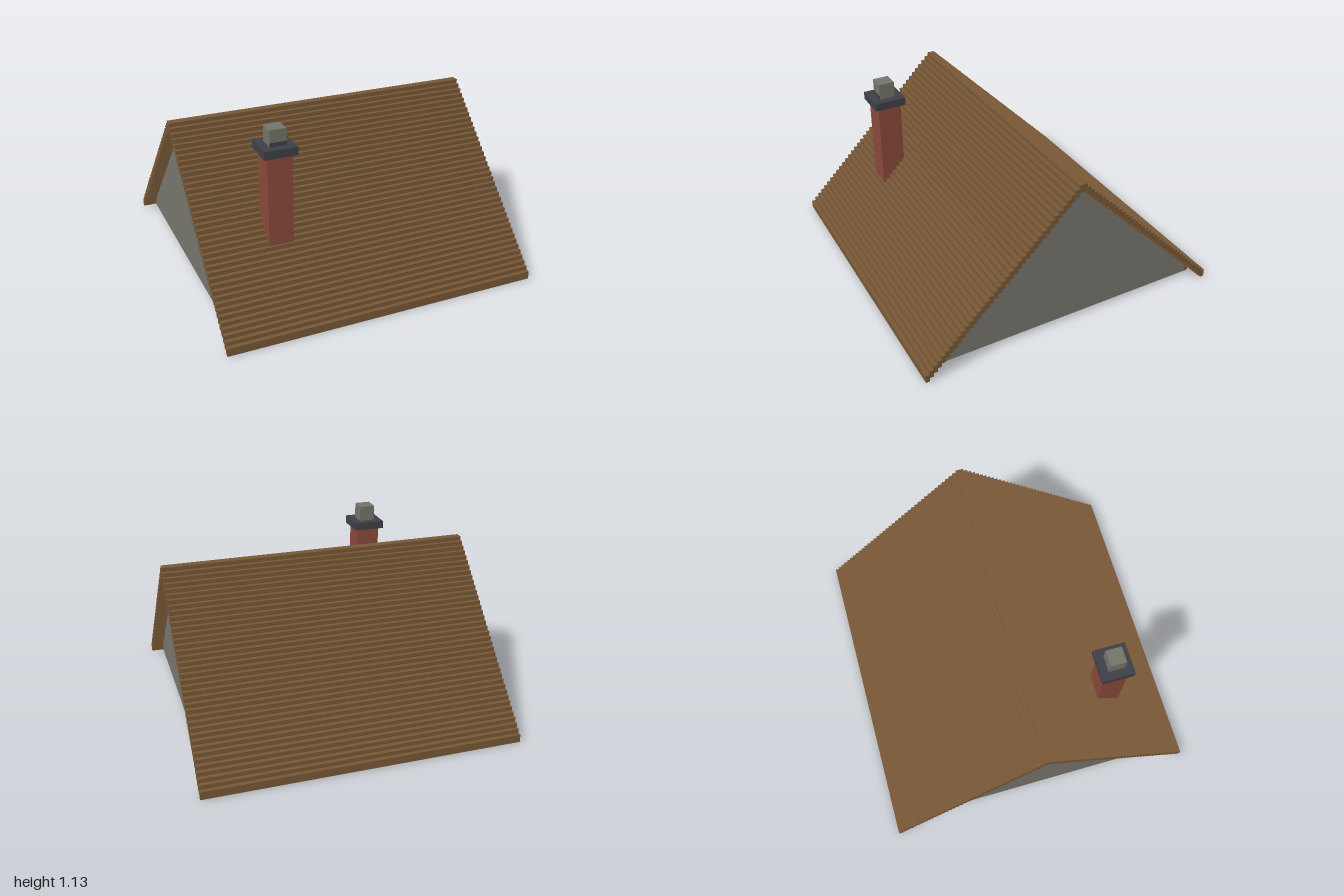
import * as THREE from 'three';

const N = 39;        // steps on each slope
const S = 1 / N;     // size of one step

const material = (name, color) => {
  const m = new THREE.MeshStandardMaterial({ color });
  m.name = name;
  return m;
};

// Extrude a (z, y) outline, given in steps, along x and centre it there
function extrudeAlongX(points, length) {
  const shape = new THREE.Shape(points.map(([z, y]) => new THREE.Vector2(z * S, y * S)));
  const geo = new THREE.ExtrudeGeometry(shape, { depth: length, bevelEnabled: false });
  geo.translate(0, 0, -length / 2);
  geo.rotateY(Math.PI / 2);
  return geo;
}

const mirrored = (points) => points.map(([z, y]) => [-z, y]).reverse();

export function createModel() {
  const model = new THREE.Group();
  model.name = 'gableRoof';
  const wood = material('brown shingles', 0x785837);
  const stone = material('grey plaster', 0x78766d);
  const brick = material('red brick', 0x8a493a);
  const slate = material('dark slate', 0x3f3f48);
  const clay = material('grey pot', 0x74746a);

  const add = (name, geo, mat, x = 0, y = 0, z = 0) => {
    const mesh = new THREE.Mesh(geo, mat);
    mesh.name = name;
    mesh.position.set(x, y, z);
    model.add(mesh);
  };
  // Box from its lower centre, in steps
  const block = (name, mat, x, y, z, w, h, d) =>
    add(name, new THREE.BoxGeometry(w * S, h * S, d * S), mat, x * S, (y + h / 2) * S, z * S);

  // Stepped roof shell: outer stair up, inner stair down, both slopes
  const outer = [], inner = [];
  for (let k = 0; k < N; k++) {
    if (k === 0) outer.push([N, 0]);
    outer.push([N - k, k + 2], [N - k - 1, k + 2]);
    inner.push([N - k, k], [N - k - 1, k]);
  }
  outer.pop();
  inner.shift();
  inner.pop();
  const roof = [...outer, ...mirrored(outer), ...mirrored(inner).reverse(), ...inner.slice().reverse()];
  add('roofShell', extrudeAlongX(roof, 2), wood);

  // Gable walls filling the stair at both ends, set in from the edge
  const side = [[35, 1]];
  for (let k = 4; k < N; k++) {
    side.push([N - k, k]);
    if (k < N - 1) side.push([N - k - 1, k]);
  }
  const gable = extrudeAlongX([...side, ...mirrored(side)], 3 * S);
  for (const end of [-1, 1]) {
    add(end > 0 ? 'leftGable' : 'rightGable', gable, stone, end * 34.5 * S);
    // Wooden blocks at the foot of each gable
    for (const z of [-35.5, 35.5]) block('gableFoot', wood, end * 34.5, 1, z, 3, 2, 1);
  }

  // Chimney
  const cx = -20.5, cz = 21.5;
  block('chimneyStack', brick, cx, 1, cz, 6, 37, 6);
  block('chimneyCap', slate, cx, 38, cz, 8, 2, 8);
  block('chimneyPot', clay, cx, 40, cz, 4, 4, 4);
  block('potFoot', slate, cx, 40, cz + 2, 4, 1, 0.2);
  return model;
}
